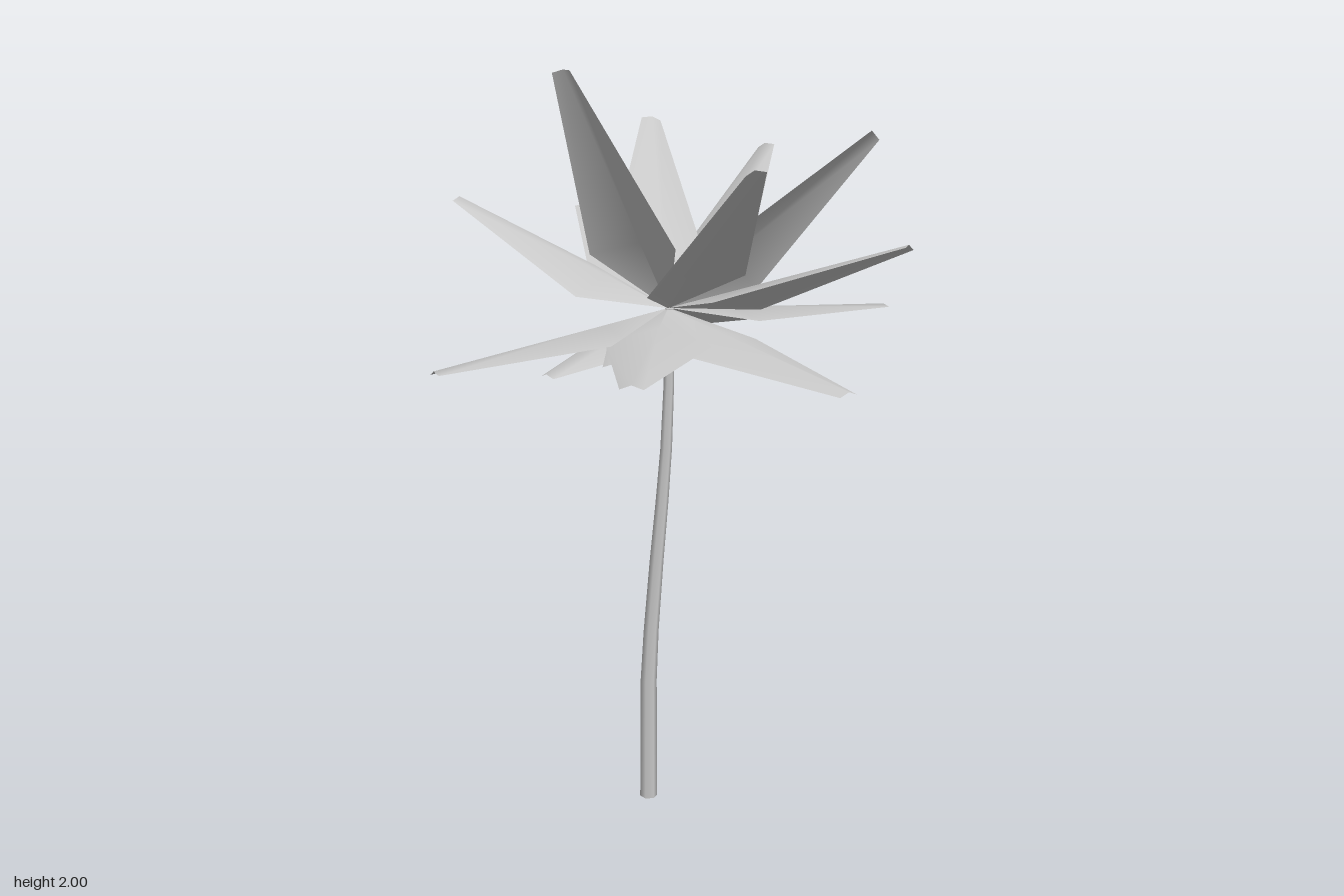
import * as THREE from 'three';

const grey = new THREE.MeshStandardMaterial({ color: 0xc8c8c8, side: THREE.DoubleSide });
grey.name = 'pale grey';

const crown = new THREE.Vector3(0, 1.4, -0.015);

// Folded leaf: starts at a point, widest near a third, narrows to a blunt tip.
function leafGeometry(tip, side, scale) {
  const axis = tip.clone().sub(crown);
  const dir = axis.clone().normalize();
  side.addScaledVector(dir, -side.dot(dir)).normalize();
  let down = new THREE.Vector3().crossVectors(dir, side);
  if (down.y > 0) down.negate();
  const sections = [[0, 0.002, 0], [0.29, 0.135, 0.04], [1, 0.027, 0.01]]; // along, half width, fold drop
  const pos = [], index = [];
  sections.forEach(([t, w, d], i) => {
    for (const s of [-1, 0, 1]) {
      const p = crown.clone().addScaledVector(axis, t)
        .addScaledVector(side, s * w * scale)
        .addScaledVector(down, Math.abs(s) * d * scale);
      pos.push(p.x, p.y, p.z);
    }
    if (i === 0) return;
    for (let k = 0; k < 2; k++) {
      const a = (i - 1) * 3 + k, b = a + 1, c = a + 3, e = a + 4;
      index.push(a, b, e, a, e, c);
    }
  });
  // Wind the faces so that the outer, upper side is the front.
  if (new THREE.Vector3().crossVectors(side, dir).dot(down) > 0) index.reverse();
  const geo = new THREE.BufferGeometry();
  geo.setAttribute('position', new THREE.Float32BufferAttribute(pos, 3));
  geo.setIndex(index);
  geo.computeVertexNormals();
  return geo;
}

// Leaf tips, with an optional sideways direction for twisted leaves and a width scale.
const leaves = [
  { tip: [-0.27, 1.65, -0.57] },
  { tip: [0.175, 1.59, -0.625], side: [1, -0.2, 0.22] },
  { tip: [0.3, 1.2, -0.545] },
  { tip: [0.31, 1.13, -0.49] },
  { tip: [0.28, 1.84, -0.445], side: [1, -0.2, 0.45] },
  { tip: [0.51, 1.77, -0.235], side: [0.03, 0.025, 0.115] },
  { tip: [0.63, 1.36, 0.125], side: [-0.2, 0.2, 1] },
  { tip: [0.39, 1.84, 0.305], side: [1, -0.59, -0.43], scale: 1.05 },
  { tip: [0.285, 1.6, 0.54], side: [1, -0.25, -0.42] },
  { tip: [0.015, 1.3, 0.63] },
  { tip: [-0.165, 1.8, 0.5], side: [1, 0.12, 0.2] },
  { tip: [-0.46, 1.35, 0.44] },
  { tip: [-0.64, 1.31, -0.1], side: [-0.13, 0.15, 1] },
  { tip: [-0.4, 1.29, 0.02], scale: 0.85 },
  { tip: [-0.345, 1.34, 0.21], scale: 0.85 },
  { tip: [-0.315, 2, -0.012], side: [0.035, 0.02, 0.13] },
];

// Sideways bend of the trunk by height.
const bend = [
  [0, -0.106], [0.35, -0.104], [0.5, -0.092], [0.7, -0.068],
  [0.88, -0.043], [1.03, -0.025], [1.2, -0.014], [1.4, -0.01],
];

function trunkGeometry() {
  const rows = bend.length - 1;
  const geo = new THREE.CylinderGeometry(0.012, 0.024, 1.4, 6, rows);
  const p = geo.attributes.position;
  for (let i = 0; i < p.count; i++) {
    const row = Math.round((p.getY(i) / 1.4 + 0.5) * rows);
    p.setY(i, bend[row][0]);
    p.setZ(i, p.getZ(i) + bend[row][1]);
  }
  return geo;
}

export function createModel() {
  const model = new THREE.Group();
  model.name = 'palm';

  const trunk = new THREE.Mesh(trunkGeometry(), grey);
  trunk.name = 'trunk';
  model.add(trunk);

  const fronds = new THREE.Group();
  fronds.name = 'fronds';
  leaves.forEach(({ tip, side, scale = 1 }, i) => {
    const end = new THREE.Vector3(...tip);
    const across = side
      ? new THREE.Vector3(...side)
      : new THREE.Vector3(end.z - crown.z, 0, -end.x);
    const frond = new THREE.Mesh(leafGeometry(end, across, scale), grey);
    frond.name = `frond${i + 1}`;
    fronds.add(frond);
  });
  model.add(fronds);
  return model;
}
